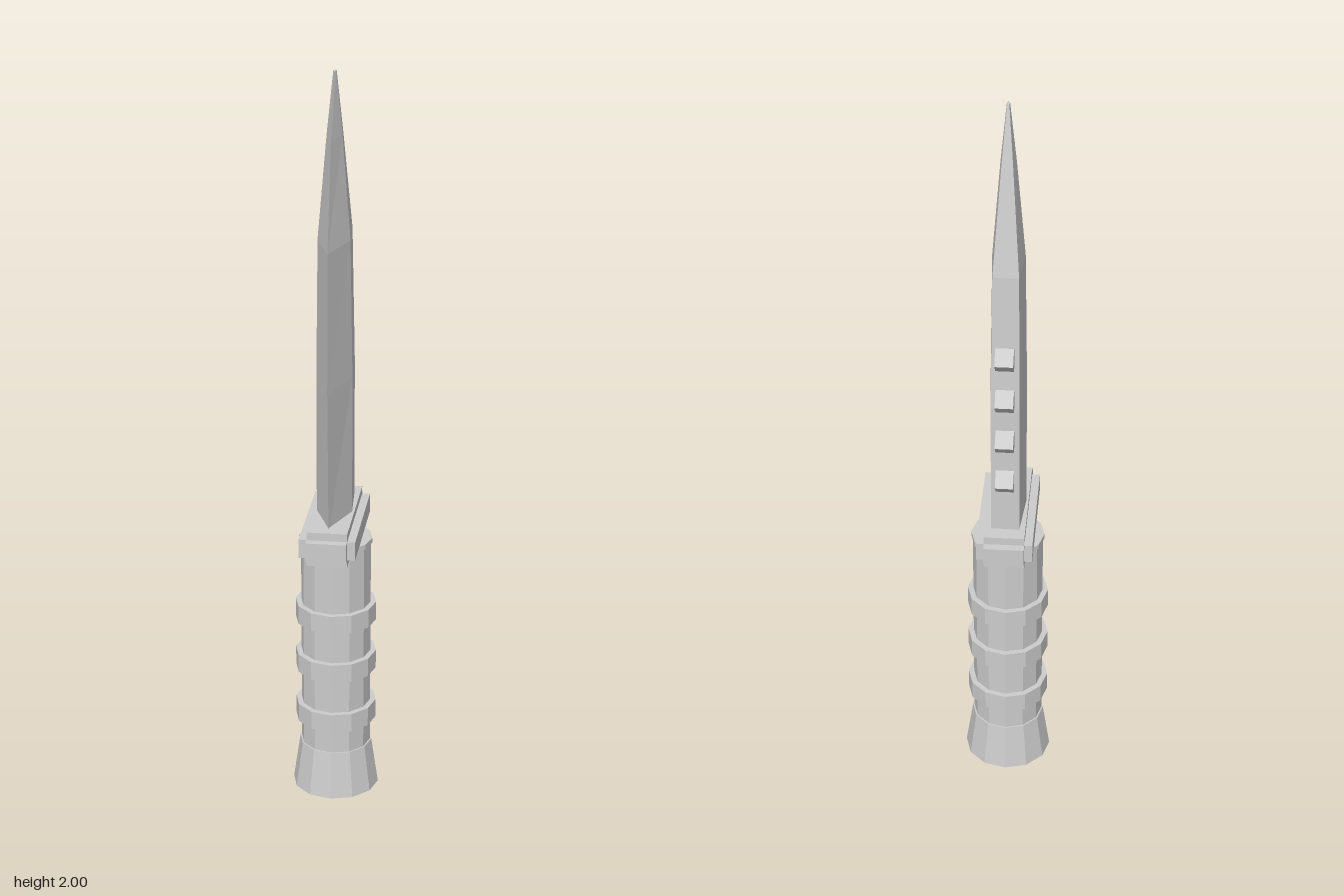
import * as THREE from 'three';

const steel = new THREE.MeshStandardMaterial({ color: 0xcccccc, flatShading: true });
steel.name = 'grey steel';

const HANDLE_Z = -0.02;

function add(parent, name, geometry, x = 0, y = 0, z = 0) {
  const mesh = new THREE.Mesh(geometry, steel);
  mesh.name = name;
  mesh.position.set(x, y, z);
  parent.add(mesh);
  return mesh;
}

// Twelve-sided handle piece between two heights
function round(parent, name, y0, y1, r0, r1 = r0) {
  return add(parent, name, new THREE.CylinderGeometry(r1, r0, y1 - y0, 12), 0, (y0 + y1) / 2, HANDLE_Z);
}

// Blade lofted through five-sided sections: edge, shoulders and flat spine
function bladeGeometry() {
  // y, edge z, shoulder z, shoulder half width, spine z, spine half width
  const sections = [
    [0.80, 0.128, 0.01, 0.047, -0.12, 0.037],
    [1.20, 0.149, 0.012, 0.047, -0.118, 0.037],
    [1.57, 0.143, 0.018, 0.042, -0.094, 0.033],
    [1.84, 0.077, 0.008, 0.020, -0.042, 0.015],
    [2.00, 0.013, 0.002, 0.004, -0.009, 0.003],
  ];
  const rings = sections.map(([y, ze, zm, w, zs, s]) => [
    [0, y, ze], [w, y, zm], [s, y, zs], [-s, y, zs], [-w, y, zm],
  ]);
  const pos = [];
  const tri = (a, b, c) => pos.push(...a, ...b, ...c);
  for (let r = 0; r < rings.length - 1; r++) {
    const lo = rings[r], hi = rings[r + 1];
    for (let i = 0; i < 5; i++) {
      const j = (i + 1) % 5;
      tri(lo[i], lo[j], hi[j]);
      tri(lo[i], hi[j], hi[i]);
    }
  }
  // end caps
  const base = rings[0], tip = rings[rings.length - 1];
  for (let i = 1; i < 4; i++) {
    tri(tip[0], tip[i], tip[i + 1]);
    tri(base[0], base[i + 1], base[i]);
  }
  const geo = new THREE.BufferGeometry();
  geo.setAttribute('position', new THREE.Float32BufferAttribute(pos, 3));
  geo.computeVertexNormals();
  return geo;
}

export function createModel() {
  const model = new THREE.Group();
  model.name = 'knife';

  // Handle with flared pommel, collar and three raised bands
  const handle = new THREE.Group();
  handle.name = 'handle';
  model.add(handle);
  round(handle, 'pommel', 0, 0.13, 0.117, 0.098);
  round(handle, 'grip', 0.13, 0.73, 0.094);
  round(handle, 'collar', 0.722, 0.735, 0.098);
  for (const y of [0.2, 0.35, 0.495]) round(handle, 'gripBand', y, y + 0.052, 0.109);

  // Guard with stepped edges on all sides
  const guard = new THREE.Group();
  guard.name = 'guard';
  model.add(guard);
  add(guard, 'guardLength', new THREE.BoxGeometry(0.106, 0.052, 0.366), 0, 0.774);
  add(guard, 'guardWidth', new THREE.BoxGeometry(0.148, 0.052, 0.322), 0, 0.774);
  add(guard, 'guardHeight', new THREE.BoxGeometry(0.106, 0.095, 0.322), 0, 0.774);

  add(model, 'blade', bladeGeometry());

  // Saw teeth: small blocks turned on their corner along the spine
  for (let i = 0; i < 4; i++) {
    const tooth = add(model, 'sawTooth', new THREE.BoxGeometry(0.047, 0.048, 0.048), 0, 0.982 + i * 0.124, -0.13);
    tooth.rotation.x = Math.PI / 4;
  }
  return model;
}
